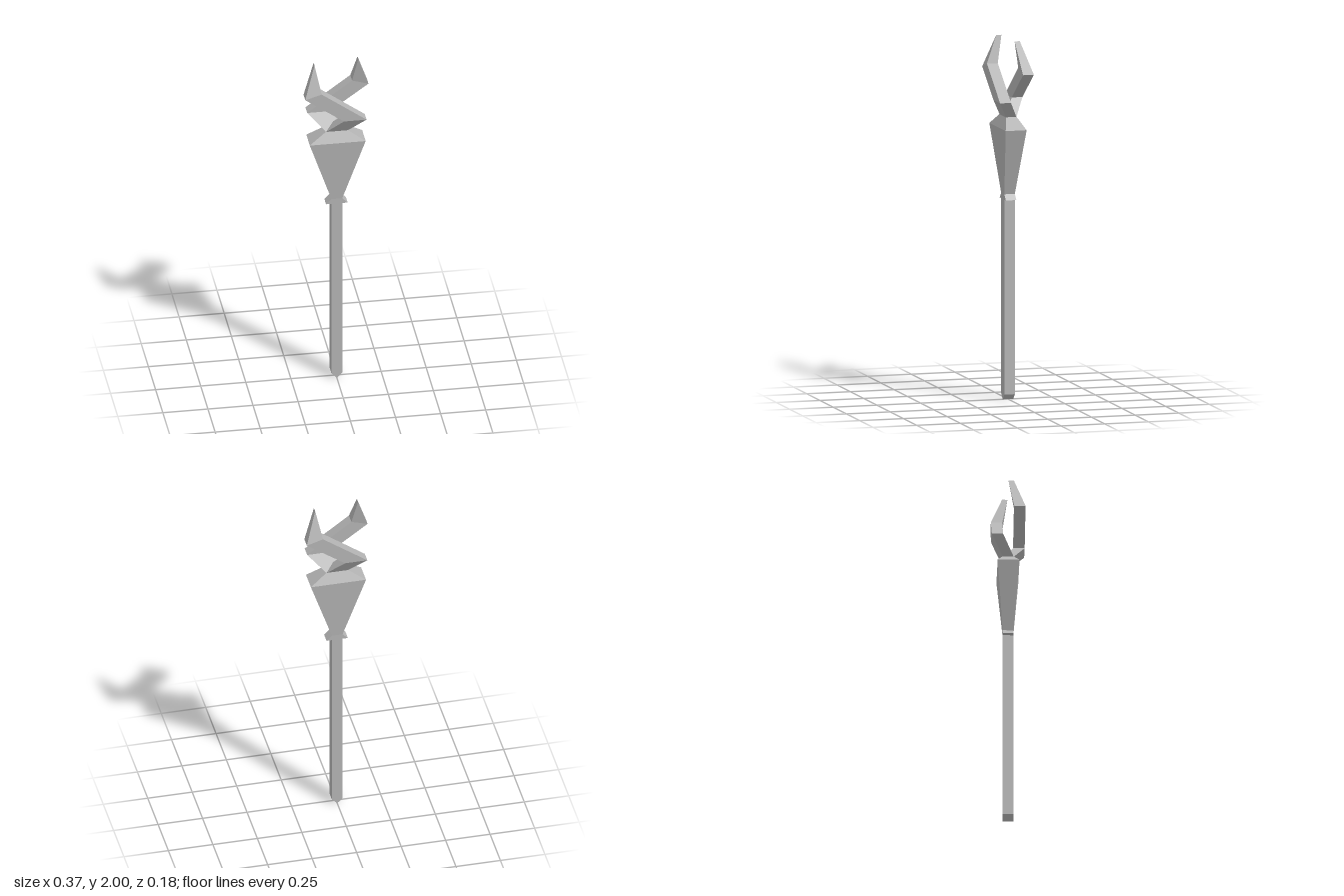
import * as THREE from 'three';

// Lofts four-cornered sections, bottom to top.
// Section: [xLeft, yLeft, xRight, yRight, zBack, zFront]
function loft(name, material, sections) {
  const rings = sections.map(([xa, ya, xb, yb, z0, z1]) => [
    [xa, ya, z1], [xb, yb, z1], [xb, yb, z0], [xa, ya, z0],
  ]);
  const pos = [];
  const quad = (a, b, c, d) => pos.push(...a, ...b, ...c, ...a, ...c, ...d);
  for (let r = 0; r < rings.length - 1; r++) {
    const low = rings[r], high = rings[r + 1];
    for (let i = 0; i < 4; i++) {
      const j = (i + 1) % 4;
      quad(low[i], low[j], high[j], high[i]);
    }
  }
  quad(...[...rings[0]].reverse());
  quad(...rings[rings.length - 1]);
  const geometry = new THREE.BufferGeometry();
  geometry.setAttribute('position', new THREE.Float32BufferAttribute(pos, 3));
  geometry.computeVertexNormals();
  const mesh = new THREE.Mesh(geometry, material);
  mesh.name = name;
  return mesh;
}

// Symmetric level section: half width, height, half depth
const level = (w, y, d) => [-w, y, w, y, -d, d];

export function createModel() {
  const group = new THREE.Group();
  group.name = 'staff';
  const grey = new THREE.MeshStandardMaterial({ color: 0xb4b4b4 });
  grey.name = 'plain grey';

  // Square shaft with a wedge foot
  group.add(loft('shaft', grey, [level(0, 0, 0.03), level(0.03, 0.03, 0.03), level(0.03, 1.14, 0.03)]));

  // Flared collar below the head
  group.add(loft('collar', grey, [level(0.06, 1.11, 0.03), level(0.03, 1.14, 0.03)]));

  // Tapered head
  group.add(loft('head', grey, [level(0.03, 1.14, 0.03), level(0.155, 1.51, 0.06), level(0.06, 1.572, 0.03)]));

  // Two crossing prongs, the second turned half way round
  ['frontProng', 'backProng'].forEach((name, i) => {
    const prong = loft(name, grey, [
      level(0.06, 1.57, 0.03),
      [0.03, 1.665, 0.155, 1.665, 0.03, 0.092],
      [-0.185, 1.82, -0.094, 1.848, 0.03, 0.092],
      [-0.124, 2, -0.124, 2, 0, 0.03],
    ]);
    prong.rotation.y = i * Math.PI;
    group.add(prong);
  });

  return group;
}
